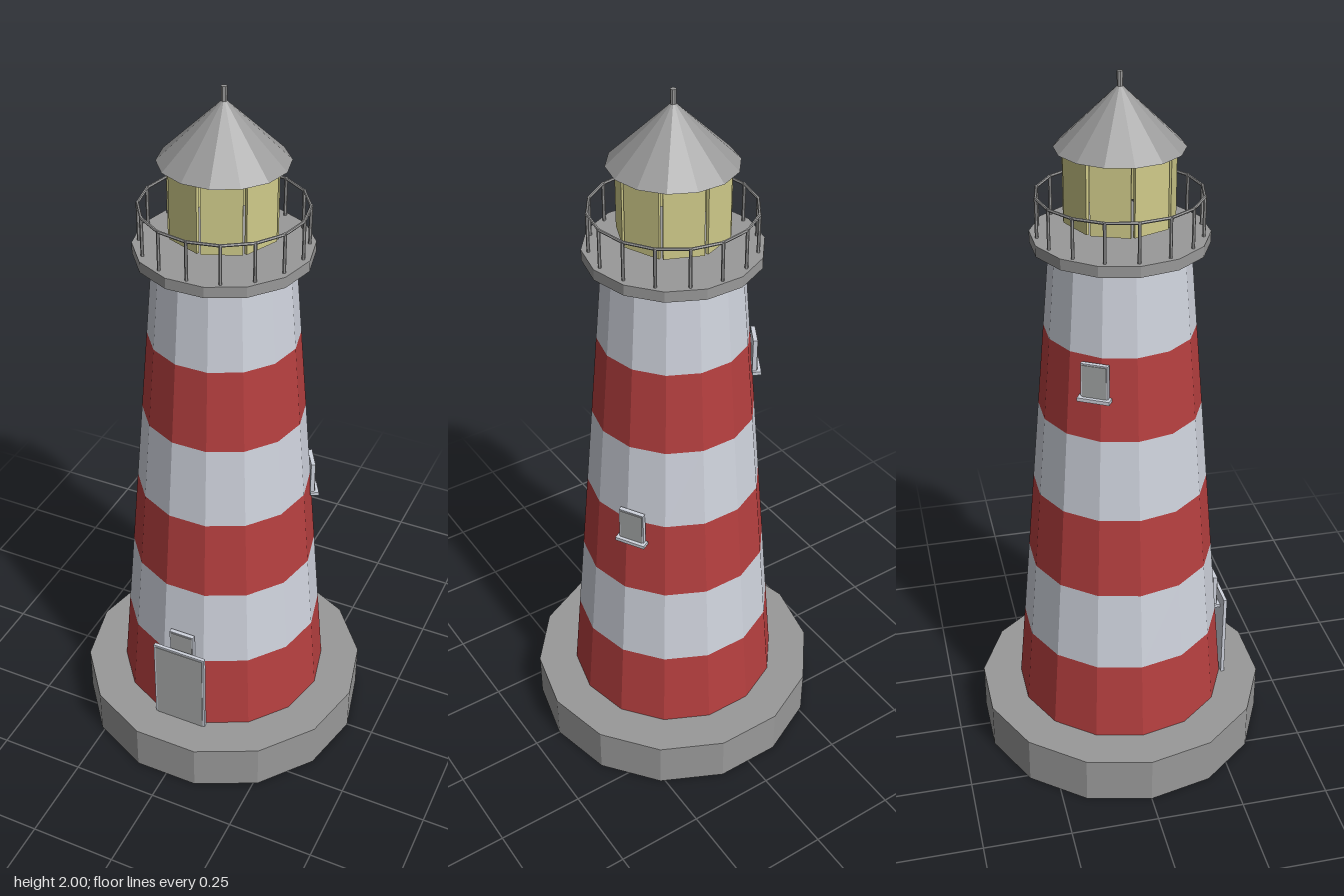
import * as THREE from 'three';

const SIDES = 14;
const paint = (name, color) => {
  const m = new THREE.MeshStandardMaterial({ color, flatShading: true });
  m.name = name;
  return m;
};

export function createModel() {
  const white = paint('white paint', 0xcfd3dd);
  const red = paint('red paint', 0xb53f3f);
  const grey = paint('grey stone', 0x999999);
  const panel = paint('door grey', 0xa4a6a6);
  const glass = paint('lantern glass', 0xd0cb8a);

  const model = new THREE.Group();
  model.name = 'lighthouse';

  const add = (name, geometry, material, x = 0, y = 0, z = 0, parent = model) => {
    const mesh = new THREE.Mesh(geometry, material);
    mesh.name = name;
    mesh.position.set(x, y, z);
    parent.add(mesh);
    return mesh;
  };
  // Faceted drum between two heights, with a corner on the x axis
  const drum = (name, rTop, rBottom, y0, y1, material, open = false) =>
    add(name, new THREE.CylinderGeometry(rTop, rBottom, y1 - y0, SIDES, 1, open).rotateY(Math.PI / 2),
      material, 0, (y0 + y1) / 2);
  const group = (name, angle) => {
    const g = new THREE.Group();
    g.name = name;
    g.rotation.y = angle;
    model.add(g);
    return g;
  };

  // Base and striped tapering tower
  drum('base', 0.42, 0.42, 0, 0.14, grey);
  const y0 = 0.14, y1 = 1.555, bands = 6;
  const towerRadius = (y) => 0.305 - 0.12 * (y - y0) / (y1 - y0);
  for (let i = 0; i < bands; i++) {
    const a = y0 + (y1 - y0) * i / bands, b = y0 + (y1 - y0) * (i + 1) / bands;
    drum('towerBand', towerRadius(b), towerRadius(a), a, b, i % 2 ? white : red, true);
  }

  // Door: thin frame with an inset leaf
  add('doorFrame', new THREE.BoxGeometry(0.16, 0.27, 0.01), white, 0, 0.275, 0.305);
  add('door', new THREE.BoxGeometry(0.148, 0.264, 0.003), panel, 0, 0.272, 0.3105);

  // Three windows spiralling up the tower
  for (let i = 0; i < 3; i++) {
    const y = 0.415 + 0.42 * i;
    const r = towerRadius(y) * Math.cos(Math.PI / SIDES) + 0.01;
    const w = group('window', i * Math.PI * 2 / 3);
    add('windowFrame', new THREE.BoxGeometry(0.074, 0.1, 0.012), white, 0, y, r, w);
    add('windowPane', new THREE.BoxGeometry(0.066, 0.092, 0.003), panel, 0, y, r + 0.0065, w);
    add('windowSill', new THREE.BoxGeometry(0.088, 0.01, 0.024), white, 0, y - 0.05, r + 0.006, w);
  }

  // Gallery with railing
  drum('gallery', 0.235, 0.235, 1.555, 1.585, grey);
  const postGeo = new THREE.CylinderGeometry(0.0045, 0.0045, 0.11, 6);
  for (let i = 0; i < 16; i++) {
    const a = i * Math.PI / 8;
    add('railPost', postGeo, grey, 0.217 * Math.sin(a), 1.638, 0.217 * Math.cos(a));
  }
  add('handRail', new THREE.TorusGeometry(0.217, 0.004, 6, 16).rotateX(Math.PI / 2), grey, 0, 1.69);

  // Lantern: eight glass panels round an octagon
  for (let i = 0; i < 8; i++) {
    const g = group('lanternPanel', (i + 0.5) * Math.PI / 4);
    add('glass', new THREE.BoxGeometry(0.103, 0.19, 0.008), glass, 0, 1.717, 0.134, g);
  }

  // Roof and finial
  add('roof', new THREE.ConeGeometry(0.168, 0.16, SIDES).rotateY(Math.PI / 2), grey, 0, 1.89);
  add('finial', new THREE.CylinderGeometry(0.008, 0.008, 0.06, 8), grey, 0, 1.97);

  return model;
}
